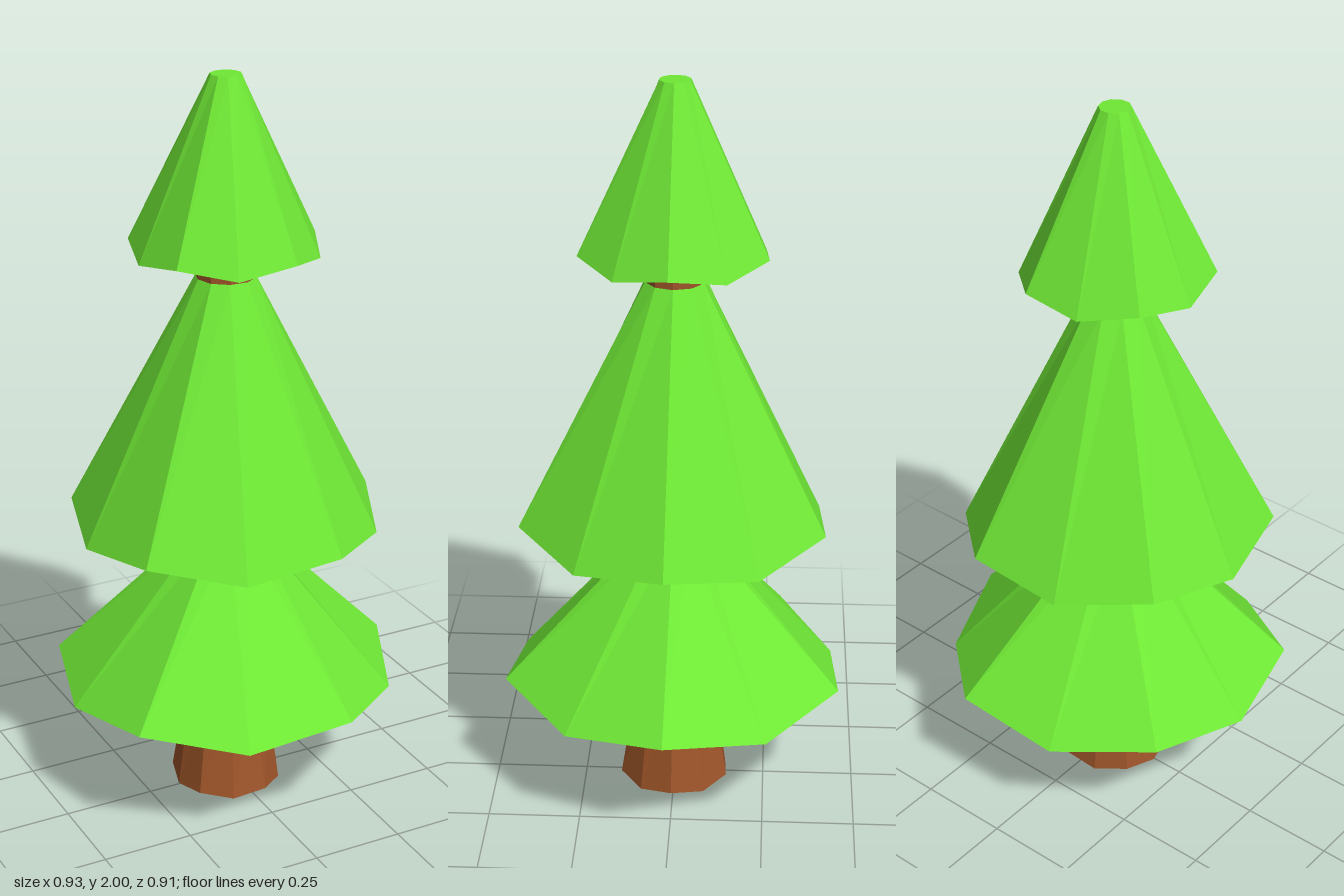
import * as THREE from 'three';

const SIDES = 10;
const CENTRE_X = -0.012;
const TWIST = THREE.MathUtils.degToRad(1.4);

// Faceted solid from rings listed bottom to top.
// Ring: [evenRadius, oddRadius, evenY, oddY]; even and odd corners zigzag.
function ringSolid(name, rings, material) {
  const corner = ([r0, r1, y0, y1], i) => {
    const odd = i % 2;
    const a = TWIST + (i % SIDES) * Math.PI * 2 / SIDES;
    const r = odd ? r1 : r0;
    return [CENTRE_X + r * Math.cos(a), odd ? y1 : y0, r * Math.sin(a)];
  };
  const positions = [];
  for (let k = 0; k < rings.length - 1; k++) {
    const low = rings[k], high = rings[k + 1];
    for (let i = 0; i < SIDES; i++) {
      const a0 = corner(low, i), a1 = corner(low, i + 1);
      const b0 = corner(high, i), b1 = corner(high, i + 1);
      if (low[0] > 0) positions.push(...a0, ...b0, ...a1);
      if (high[0] > 0) positions.push(...a1, ...b0, ...b1);
    }
  }
  const geometry = new THREE.BufferGeometry();
  geometry.setAttribute('position', new THREE.Float32BufferAttribute(positions, 3));
  geometry.computeVertexNormals();
  const mesh = new THREE.Mesh(geometry, material);
  mesh.name = name;
  return mesh;
}

const level = (r, y) => [r, r, y, y];

export function createModel() {
  const tree = new THREE.Group();
  tree.name = 'tree';
  const bark = new THREE.MeshStandardMaterial({ color: 0xa0562a, flatShading: true });
  const leaf = new THREE.MeshStandardMaterial({ color: 0x6fe835, flatShading: true });

  // Tapered trunk with a slightly uneven foot
  tree.add(ringSolid('trunk', [
    level(0, 0), [0.155, 0.148, 0.012, 0], level(0.107, 0.306),
  ], bark));

  // Foliage tiers: shallow underside, zigzag rim, sloping skirt, flat top
  const tiers = [
    { name: 'lowerFoliage', inner: 0.107, base: 0.305, rim: [0.477, 0.453, 0.357, 0.318], top: 0.075, tip: 0.765 },
    { name: 'middleFoliage', inner: 0.075, base: 0.77, rim: [0.428, 0.407, 0.815, 0.78], top: 0.08, tip: 1.475 },
    { name: 'upperFoliage', inner: 0.08, base: 1.495, rim: [0.257, 0.244, 1.56, 1.535], top: 0.041, tip: 2 },
  ];
  tiers.forEach((t, i) => {
    tree.add(ringSolid(t.name, [
      level(0, t.base), level(t.inner, t.base), t.rim, level(t.top, t.tip), level(0, t.tip),
    ], leaf));
    // Short stretch of trunk showing between tiers
    const next = tiers[i + 1];
    if (next) tree.add(ringSolid('trunkNeck', [level(t.top, t.tip), level(next.inner, next.base)], bark));
  });
  return tree;
}
